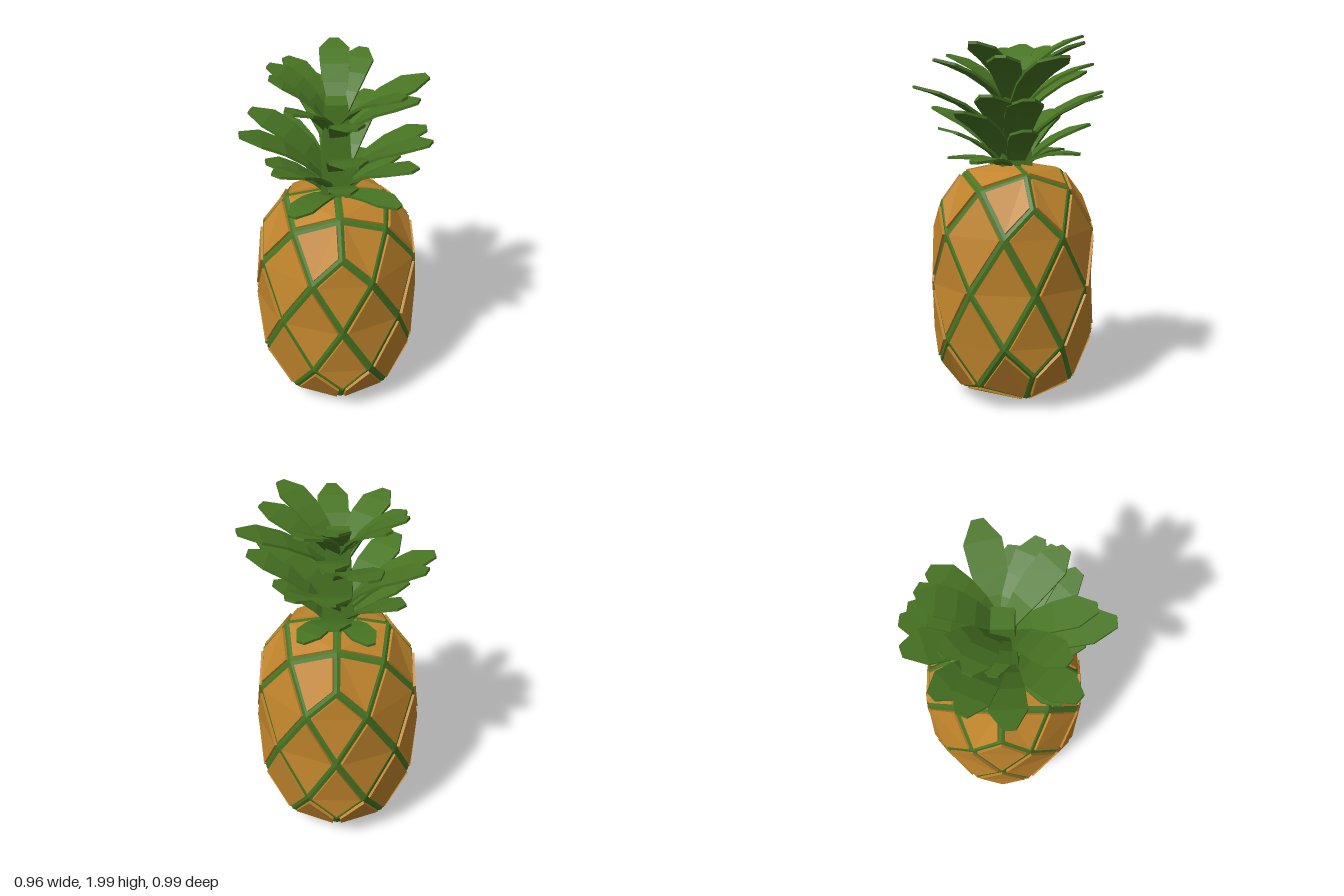
import * as THREE from 'three';

const orange = new THREE.MeshStandardMaterial({ color: 0xc1852c, flatShading: true });
orange.name = 'rind orange';
const green = new THREE.MeshStandardMaterial({ color: 0x487523, flatShading: true });
green.name = 'leaf green';

const CX = 0.013, CZ = -0.03, MID = 0.66;

// Point on the fruit: azimuth in degrees, height above the middle, radius
function point(deg, h, r) {
  const a = deg * Math.PI / 180;
  return new THREE.Vector3(CX + r * Math.sin(a), MID + h, CZ + r * Math.cos(a));
}

// The 48 four-sided facets of the fruit (a rhombic dodecahedron split in four)
function facets() {
  const quads = [];
  const C = (a) => point(a, 0, 0.447);
  const B = (a, s) => point(a, s * 0.29, 0.438);
  // The lower half (s = -1) is a little fuller than the upper
  const N = (a, s) => point(a, s * 0.445, s > 0 ? 0.402 : 0.415);
  const A = (a, s) => point(a, s * 0.525, s > 0 ? 0.343 : 0.365);
  const M = (a, s) => point(a, s * 0.606, s > 0 ? 0.275 : 0.285);
  for (let k = 0; k < 360; k += 90) {
    for (const s of [1, -1]) {
      quads.push(
        [point(0, s * 0.65, 0), M(k - 45, s), A(k, s), M(k + 45, s)],
        [A(k, s), B(k - 24, s), C(k), B(k + 24, s)],
        [A(k, s), M(k + 45, s), N(k + 45, s), B(k + 24, s)],
        [A(k, s), M(k - 45, s), N(k - 45, s), B(k - 24, s)],
        [N(k + 45, s), B(k + 24, s), C(k + 45), B(k + 66, s)]);
    }
    for (const d of [1, -1]) {
      quads.push([B(k + d * 24, 1), C(k), B(k + d * 24, -1), C(k + d * 45)]);
    }
  }
  // Turn every facet to face outward
  const centre = new THREE.Vector3(CX, MID, CZ);
  return quads.map((q) => {
    const mid = q[0].clone().add(q[1]).add(q[2]).add(q[3]).divideScalar(4);
    const n = q[2].clone().sub(q[0]).cross(q[3].clone().sub(q[1])).normalize();
    if (n.dot(mid.sub(centre)) > 0) return { q, n };
    return { q: [q[0], q[3], q[2], q[1]], n: n.negate() };
  });
}

function meshFrom(name, points, material) {
  const g = new THREE.BufferGeometry().setFromPoints(points);
  g.computeVertexNormals();
  const mesh = new THREE.Mesh(g, material);
  mesh.name = name;
  return mesh;
}

function quadTriangles([a, b, c, d]) {
  return [a, b, d, b, c, d];
}

// Raised tile: facet inset evenly from its edges and pushed outward
function tile({ q, n }, gap, height) {
  const low = q.map((p, i) => {
    const u = q[(i + 1) % 4].clone().sub(p).normalize();
    const v = q[(i + 3) % 4].clone().sub(p).normalize();
    const sine = u.clone().cross(v).length();
    return u.add(v).multiplyScalar(gap / sine).add(p).addScaledVector(n, -0.004);
  });
  const high = low.map((p) => p.clone().addScaledVector(n, height));
  const out = quadTriangles(high);
  for (let i = 0; i < 4; i++) {
    const j = (i + 1) % 4;
    out.push(...quadTriangles([low[i], low[j], high[j], high[i]]));
  }
  return out;
}

// Leaf: a thin box bent along an arc, with widths set along its length
const STEPS = [0, 0.3, 0.55, 0.8, 1];
const WIDTHS = [0.045, 0.075, 0.09, 0.095, 0.03];
function leaf(x, y, z, width = 1) {
  const low = y < 1.45;
  const dx = x - CX, dz = z - CZ;
  const reach = Math.hypot(dx, dz);
  const f = new THREE.Vector3(dx / reach, 0, dz / reach);
  const side = new THREE.Vector3(f.z, 0, -f.x);
  const rise = low ? y - 1.28 : Math.min(y - 1.28, y > 1.75 ? 0.24 : 0.3);
  const bendY = low ? y + 0.03 : y - 0.2 * rise;
  const path = new THREE.QuadraticBezierCurve3(
    new THREE.Vector3(CX, y - rise, CZ).addScaledVector(f, 0.04),
    new THREE.Vector3(CX, bendY, CZ).addScaledVector(f, reach * 0.45),
    new THREE.Vector3(x, y, z));
  const g = new THREE.BoxGeometry(2, 1, 1, 1, 1, STEPS.length - 1);
  const pos = g.attributes.position;
  for (let i = 0; i < pos.count; i++) {
    const k = Math.round((pos.getZ(i) + 0.5) * (STEPS.length - 1));
    const up = path.getTangent(STEPS[k]).cross(side);
    const p = path.getPoint(STEPS[k])
      .addScaledVector(side, pos.getX(i) * WIDTHS[k] * width)
      .addScaledVector(up, pos.getY(i) * 0.014);
    pos.setXYZ(i, p.x, p.y, p.z);
  }
  g.computeVertexNormals();
  const mesh = new THREE.Mesh(g, green);
  mesh.name = 'leaf';
  return mesh;
}

// Leaf tips (x, y, z, relative width), lowest first
const TIPS = [
  [-0.38, 1.32, 0.01, 0.75], [0.37, 1.36, -0.13, 0.75], [0.02, 1.34, 0.39, 0.75], [0.13, 1.36, -0.39, 0.75],
  [0.24, 1.5, 0.22, 0.8], [-0.28, 1.5, -0.26, 0.8], [-0.27, 1.5, 0.27, 0.8], [0.33, 1.51, -0.33, 0.85],
  [-0.48, 1.6, 0.01], [0.0, 1.6, 0.49], [0.03, 1.58, -0.49],
  [0.31, 1.66, 0.33], [-0.37, 1.66, -0.35], [0.47, 1.67, -0.18], [0.15, 1.68, 0.47],
  [-0.17, 1.69, -0.47], [-0.35, 1.72, 0.38], [0.39, 1.69, -0.36],
  [0.22, 1.8, -0.48], [0.35, 1.84, -0.32, 0.85], [-0.27, 1.86, 0.31, 0.85],
  [0.45, 1.87, 0.22], [0.17, 1.87, 0.37, 0.9], [-0.38, 1.89, 0.01, 0.9],
  [-0.2, 1.93, -0.29, 0.75], [-0.12, 1.95, -0.37, 0.8],
  [0.02, 1.94, 0.39, 0.85], [0.03, 1.94, -0.39, 0.8], [0.38, 1.95, -0.15, 0.9],
  [0.3, 1.99, -0.29, 0.85],
];

export function createModel() {
  const model = new THREE.Group();
  model.name = 'pineapple';

  const faces = facets();
  model.add(meshFrom('fruitCore', faces.flatMap((f) => quadTriangles(f.q)), green));
  model.add(meshFrom('rindTiles', faces.flatMap((f) => tile(f, 0.02, 0.017)), orange));

  // Crown of leaves around a square stem
  const crown = new THREE.Group();
  crown.name = 'crown';
  const stem = new THREE.Mesh(new THREE.CylinderGeometry(0.08, 0.125, 0.54, 4), green);
  stem.name = 'stem';
  stem.position.set(CX, 1.54, CZ);
  crown.add(stem);
  for (const tip of TIPS) crown.add(leaf(...tip));
  model.add(crown);
  return model;
}
